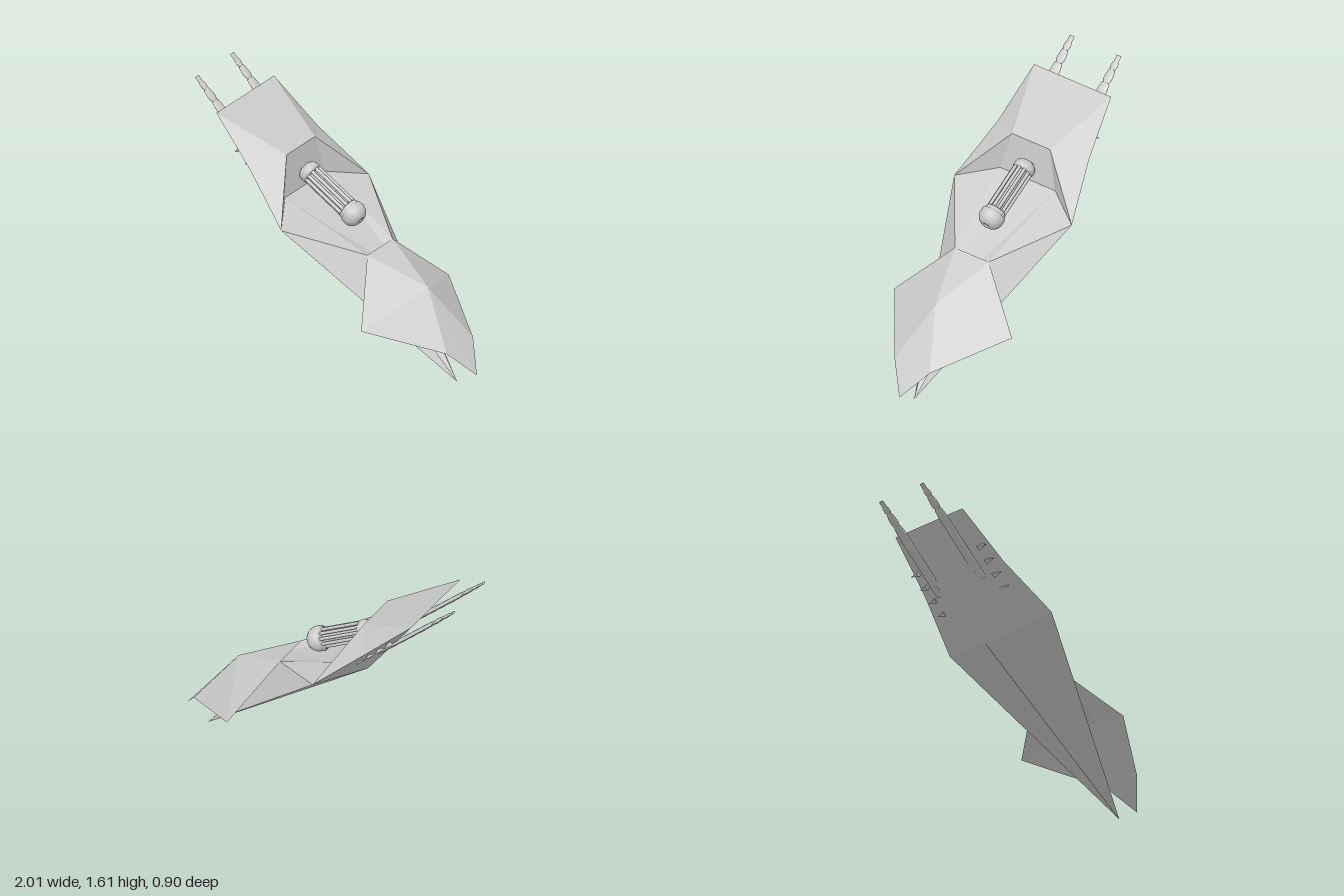
import * as THREE from 'three';

const grey = new THREE.MeshStandardMaterial({ color: 0xcccccc, side: THREE.DoubleSide, flatShading: true });
const smooth = new THREE.MeshStandardMaterial({ color: 0xcccccc, side: THREE.DoubleSide });
const UP = new THREE.Vector3(0, 1, 0);

// Corner points of the left half: [x, y, z]
const P = {
  nose: [0.85, 0, 0],
  keel: [-0.29, 0.82, 0],
  wide: [-0.16, 0.925, 0.45],
  side: [-0.47, 1.2, 0.35],
  rear: [-0.77, 1.48, 0.295],
  brow: [-0.345, 1.26, 0.145],
  well: [-0.31, 1.0, 0.21],
  deck: [0.26, 0.75, 0.13],
  sill: [0.3, 0.705, 0.05],
  peak: [0.63, 0.585, 0],
  fin: [0.45, 0.42, 0.45],
  cheek: [0.87, 0.26, 0.135],
  tip: [1, 0.095, 0],
};

// Faceted panel from named corners; a trailing * means the mirrored corner.
// Every polygon is also mirrored to the other side.
function panel(name, polygons) {
  const pos = [];
  const corner = (key, s) => {
    const p = P[key.replace('*', '')];
    return [p[0], p[1], p[2] * (key.endsWith('*') ? -s : s)];
  };
  for (const poly of polygons) {
    const keys = poly.split(' ');
    const crossesMiddle = keys.some((k) => k.endsWith('*'));
    for (const s of crossesMiddle ? [1] : [1, -1]) {
      for (let i = 1; i < keys.length - 1; i++) {
        const [b, c] = s > 0 ? [keys[i], keys[i + 1]] : [keys[i + 1], keys[i]];
        pos.push(...corner(keys[0], s), ...corner(b, s), ...corner(c, s));
      }
    }
  }
  const g = new THREE.BufferGeometry();
  g.setAttribute('position', new THREE.Float32BufferAttribute(pos, 3));
  g.computeVertexNormals();
  const m = new THREE.Mesh(g, grey);
  m.name = name;
  return m;
}

// Lathe from [radius, height] pairs
function lathe(name, pts, sides, mat) {
  const m = new THREE.Mesh(new THREE.LatheGeometry(pts.map((p) => new THREE.Vector2(...p)), sides), mat);
  m.name = name;
  return m;
}

// Stand a part built along +y at one point, aimed at another
function aim(obj, from, to) {
  const a = new THREE.Vector3(...from);
  obj.position.copy(a);
  obj.quaternion.setFromUnitVectors(UP, new THREE.Vector3(...to).sub(a).normalize());
  return obj;
}

// Caged engine core: two rounded caps joined by a ring of rods
function makeCore() {
  const core = new THREE.Group();
  core.name = 'engineCore';
  const L = 0.47;
  core.add(lathe('innerTube', [[0.042, 0.04], [0.042, L - 0.04]], 20, smooth));
  core.add(lathe('rearCap', [[0, -0.01], [0.04, -0.005], [0.062, 0.012], [0.07, 0.035], [0.07, 0.055], [0.06, 0.065], [0, 0.065]], 24, smooth));
  core.add(lathe('frontCap', [
    [0, L - 0.105], [0.066, L - 0.105], [0.07, L - 0.095], [0.07, L - 0.08], [0.08, L - 0.075],
    [0.08, L - 0.04], [0.074, L - 0.02], [0.06, L], [0.04, L + 0.012], [0.02, L + 0.015], [0.012, L - 0.005], [0, L - 0.005],
  ], 24, smooth));
  const rod = new THREE.CylinderGeometry(0.011, 0.011, L - 0.13, 8);
  for (let i = 0; i < 10; i++) {
    const a = (i / 10) * Math.PI * 2;
    const m = new THREE.Mesh(rod, smooth);
    m.name = 'coreRod';
    m.position.set(0.056 * Math.cos(a), L / 2 - 0.02, 0.056 * Math.sin(a));
    core.add(m);
  }
  return aim(core, [-0.31, 1.12, 0], [0.1, 0.895, 0]);
}

// Flattened, stepped rear spike
function makeSpike(s) {
  const spike = new THREE.Group();
  spike.name = s > 0 ? 'leftSpike' : 'rightSpike';
  const m = lathe('spikeBarrel', [
    [0, 0], [0.036, 0], [0.036, 0.46], [0.03, 0.51], [0.023, 0.515], [0.031, 0.535], [0.031, 0.56], [0.025, 0.6],
    [0.019, 0.605], [0.026, 0.625], [0.024, 0.65], [0.018, 0.655], [0.018, 0.7], [0, 0.7],
  ], 12, grey);
  m.scale.x = 0.35;
  spike.add(m);
  return aim(spike, [-0.49, 1.135, s * 0.18], [-1, 1.605, s * 0.18]);
}

export function createModel() {
  const model = new THREE.Group();
  model.name = 'tiltedCraft';

  model.add(
    panel('lowerHull', ['keel nose wide', 'keel wide side', 'keel side rear', 'keel rear rear*']),
    panel('rearCowl', ['rear rear* brow* brow', 'rear brow side', 'side brow wide']),
    panel('wellWalls', ['brow brow* well* well', 'brow well wide', 'well deck sill']),
    panel('wellFloor', ['well well* sill* sill']),
    panel('sideDeck', ['well wide deck', 'wide nose deck']),
    panel('frontHood', ['deck deck* peak', 'deck peak fin', 'fin peak cheek', 'cheek peak tip']),
    makeCore(),
  );

  // Rear spikes and the row of small teeth along each flank
  const tooth = new THREE.ConeGeometry(0.022, 0.07, 4);
  for (const s of [1, -1]) {
    model.add(makeSpike(s));
    for (let i = 0; i < 4; i++) {
      const m = new THREE.Mesh(tooth, grey);
      m.name = 'flankTooth';
      m.position.set(-0.6 + i * 0.07, 1.28 - i * 0.068, s * (0.3 - i * 0.006));
      m.rotation.x = s * Math.PI / 2;
      model.add(m);
    }
  }
  return model;
}
